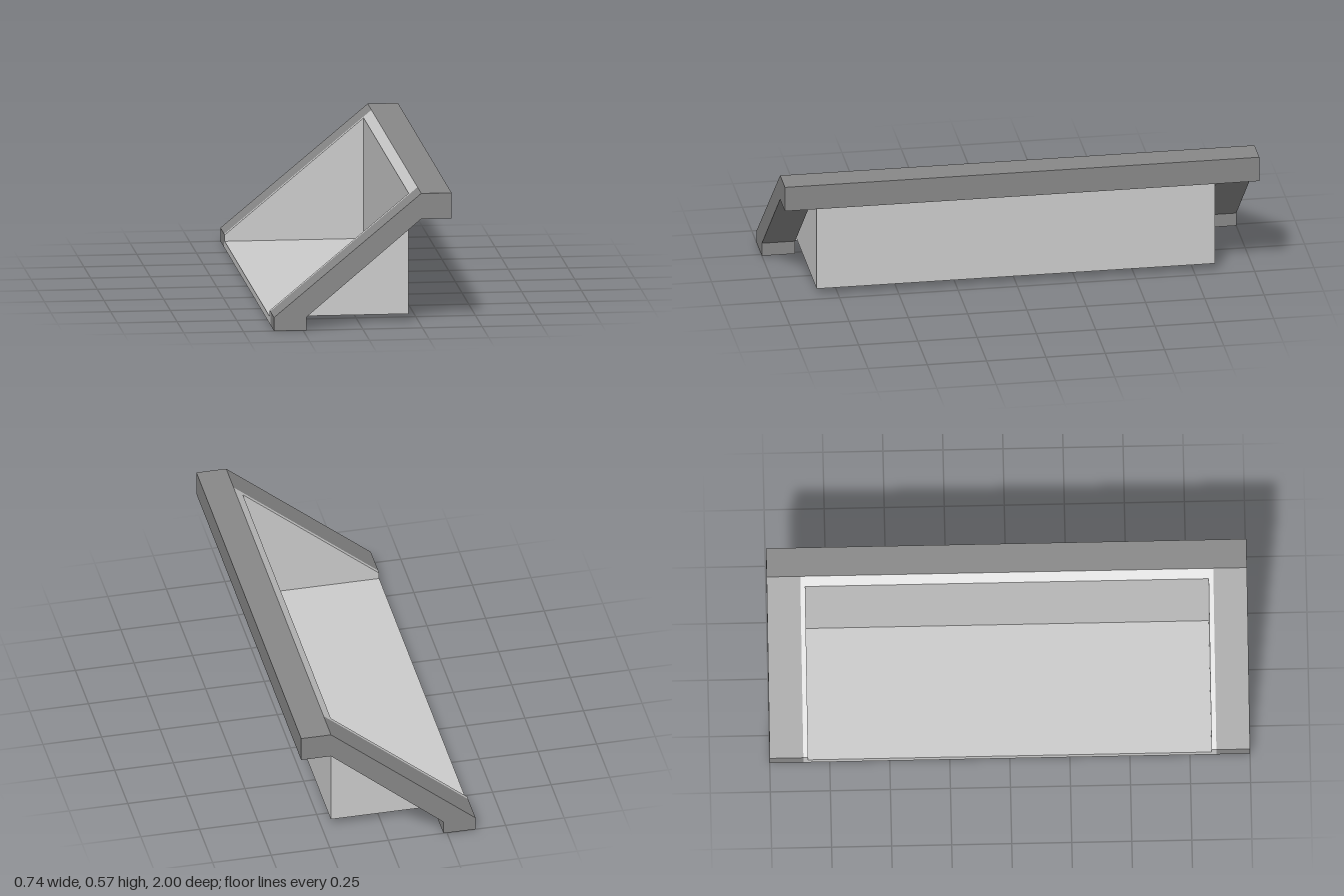
import * as THREE from 'three';

// Key dimensions
const X0 = -0.372, XK = 0.245, X1 = 0.372; // low edge, bend, high edge
const LIP = 0.057, TOP = 0.57;             // outer slope heights at X0 and XK
const ZO = 1, ZI = 0.86, ZB = 0.84;        // rail outside, rail inside, tray end
const FLOOR = 0.03, WALL = 0.21;           // tray floor height, tray wall x
const slopeY = x => LIP + (x - X0) * (TOP - LIP) / (XK - X0);

const frameMat = new THREE.MeshStandardMaterial({ color: 0x888888 });
const trayMat = new THREE.MeshStandardMaterial({ color: 0xcccccc, side: THREE.DoubleSide });

// Thin flat panel from four corners, counter-clockwise from outside
function panel(name, corners) {
  const g = new THREE.BufferGeometry();
  g.setAttribute('position', new THREE.Float32BufferAttribute(corners.flat(), 3));
  g.setIndex([0, 1, 2, 0, 2, 3]);
  const flat = g.toNonIndexed();
  flat.computeVertexNormals();
  const m = new THREE.Mesh(flat, trayMat);
  m.name = name;
  return m;
}

// Flat outline in x, y extruded between two z values
function slab(name, points, zMin, zMax) {
  const shape = new THREE.Shape(points.map(p => new THREE.Vector2(...p)));
  const g = new THREE.ExtrudeGeometry(shape, { depth: zMax - zMin, bevelEnabled: false });
  g.translate(0, 0, zMin);
  const m = new THREE.Mesh(g, frameMat);
  m.name = name;
  return m;
}

export function createModel() {
  const model = new THREE.Group();
  model.name = 'slopedTray';

  // Frame: two sloping side rails joined by a top rail
  const frame = new THREE.Group();
  frame.name = 'frame';
  const rail = [[X0, 0], [-0.235, 0], [-0.235, LIP], [XK, 0.462],
    [X1, 0.462], [X1, TOP], [XK, TOP], [X0, LIP]];
  frame.add(slab('leftRail', rail, -ZO, -ZI), slab('rightRail', rail, ZI, ZO));
  frame.add(slab('topRail', [[XK, 0.462], [X1, 0.462], [X1, TOP], [XK, TOP]], -ZI, ZI));

  // Tray: floor, upright wall and front lip
  const tray = new THREE.Group();
  tray.name = 'tray';
  const wy = slopeY(WALL);
  tray.add(
    panel('floor', [[X0, FLOOR, -ZB], [X0, FLOOR, ZB], [WALL, FLOOR, ZB], [WALL, FLOOR, -ZB]]),
    panel('backWall', [[WALL, FLOOR, ZB], [WALL, FLOOR, -ZB], [WALL, wy, -ZB], [WALL, wy, ZB]]),
    panel('frontLip', [[X0, 0, -ZI], [X0, 0, ZI], [X0, FLOOR, ZI], [X0, FLOOR, -ZI]]),
    panel('topBorder', [[WALL, wy, -ZI], [WALL, wy, ZI], [XK, TOP, ZI], [XK, TOP, -ZI]])
  );

  // Tray ends and the narrow borders beside them
  for (const s of [-1, 1]) {
    const b = s * ZB, i = s * ZI;
    const wind = c => (s > 0 ? c : c.reverse());
    tray.add(
      panel('trayEnd', wind([[X0, FLOOR, b], [WALL, FLOOR, b], [WALL, wy, b], [X0, LIP, b]])),
      panel('sideBorder', wind([[X0, LIP, b], [X0, LIP, i], [WALL, wy, i], [WALL, wy, b]])),
      panel('lipEnd', wind([[X0, FLOOR, b], [X0, FLOOR, i], [X0, LIP, i], [X0, LIP, b]]))
    );
  }

  model.add(frame, tray);
  return model;
}
